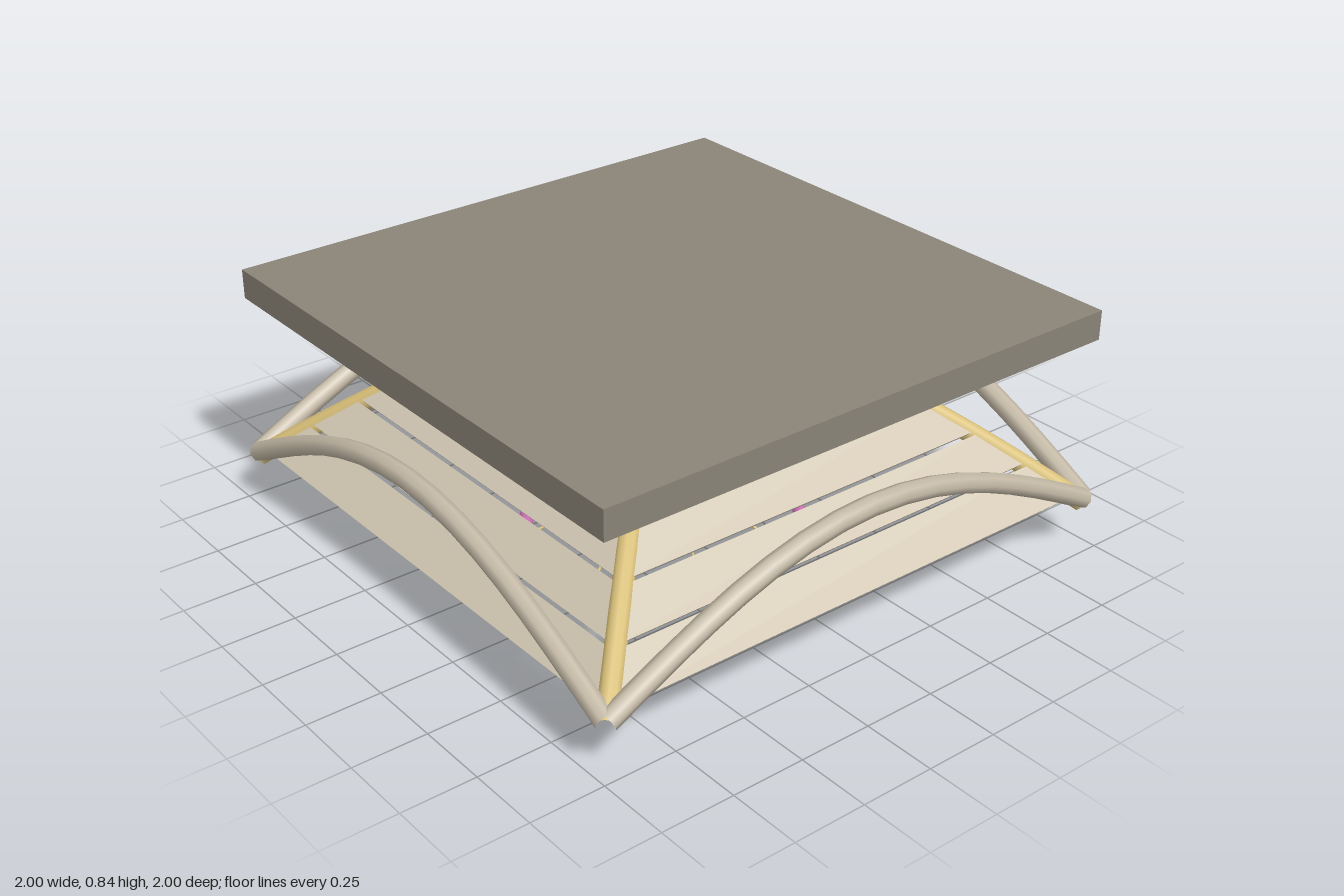
import * as THREE from 'three';

const HALF = 0.96, SPRING = 0.2, RISE = 0.55, STRIPS = 8;
const vaultY = (w) => SPRING + RISE * Math.cos((Math.PI / 2) * (w / HALF));

const mat = (name, color) => {
  const m = new THREE.MeshStandardMaterial({ color });
  m.name = name;
  return m;
};

// Curve through points given by a function of u in 0..1
function sampled(fn, n) {
  return new THREE.CatmullRomCurve3(Array.from({ length: n + 1 }, (_, i) => fn(i / n)));
}

// Closed plate between two half widths of the vault
function stripGeometry(outer, inner, thickness) {
  const g = new THREE.BoxGeometry(1, 1, 1);
  const p = g.attributes.position;
  const a = new THREE.Vector2(outer, vaultY(outer));
  const b = new THREE.Vector2(inner, vaultY(inner));
  const dir = b.clone().sub(a).normalize();
  for (let i = 0; i < p.count; i++) {
    const e = p.getY(i) < 0 ? a : b;
    const d = p.getZ(i) < 0 ? thickness : 0;
    p.setXYZ(i, Math.sign(p.getX(i)) * e.x, e.y + dir.x * d, e.x - dir.y * d);
  }
  g.computeVertexNormals();
  return g;
}

export function createModel() {
  const model = new THREE.Group();
  const slabMat = mat('grey slab', 0x8a8478);
  const webMat = mat('pale stone', 0xd0c6b2);
  const archMat = mat('warm stone', 0xc4b9a6);
  const ribMat = mat('ochre', 0xd8bf78);
  const cyan = mat('teal', 0x3fb0c8);
  const pink = mat('pink', 0xd070b8);

  const add = (name, geometry, material, parent = model) => {
    const m = new THREE.Mesh(geometry, material);
    m.name = name;
    parent.add(m);
    return m;
  };

  // Floor slab carried by the vault
  add('floorSlab', new THREE.BoxGeometry(HALF * 2, 0.1, HALF * 2), slabMat).position.y = 0.795;

  // Edge arch and diagonal rib paths
  const archGeo = new THREE.TubeGeometry(sampled((u) => new THREE.Vector3(
    (u * 2 - 1) * HALF, 0.18 + 0.325 * Math.sin(Math.PI * u), 0.965), 12), 16, 0.034, 8);
  const ribGeo = new THREE.TubeGeometry(sampled((u) => {
    const w = HALF * (1 - u);
    return new THREE.Vector3(w, vaultY(w) - 0.034, w);
  }, 12), 20, 0.034, 10);

  // Four equal bays: web strips, edge arch, diagonal rib
  for (let s = 0; s < 4; s++) {
    const bay = new THREE.Group();
    bay.name = 'vaultBay';
    bay.rotation.y = (s * Math.PI) / 2;
    model.add(bay);
    for (let k = 0; k < STRIPS; k++) {
      const gap = k >= 4 ? 0.009 : 0.002;
      const outer = (HALF * (k + 1)) / STRIPS;
      add('webStrip', stripGeometry(outer, (HALF * k) / STRIPS + gap, 0.012), webMat, bay);
    }
    add('edgeArch', archGeo, archMat, bay);
    add('diagonalRib', ribGeo, ribMat, bay);
  }

  // Keystone boss at the crown
  const key = add('keystone', new THREE.SphereGeometry(0.12, 20, 12), cyan);
  key.scale.y = 0.45;
  key.position.y = 0.69;

  // Hanging rings
  const ring = (name, R, r, y, material) => {
    const m = add(name, new THREE.TorusGeometry(R, r, 10, 48), material);
    m.rotation.x = Math.PI / 2;
    m.position.y = y;
  };
  ring('outerRing', 0.455, 0.022, 0.022, pink);
  ring('innerRing', 0.288, 0.012, 0.083, cyan);

  // Stem and spokes of the hanging rings
  const rod = (name, a, b, r) => add(name,
    new THREE.TubeGeometry(new THREE.LineCurve3(a, b), 1, r, 6), ribMat);
  rod('stem', new THREE.Vector3(0, 0.03, 0), new THREE.Vector3(0, 0.68, 0), 0.006);
  const apex = new THREE.Vector3(0, 0.222, 0);
  for (let i = 0; i < 8; i++) {
    const t = ((i + 0.5) * Math.PI) / 4;
    rod('spoke', new THREE.Vector3(0.45 * Math.cos(t), 0.025, 0.45 * Math.sin(t)), apex, 0.005);
  }
  return model;
}
